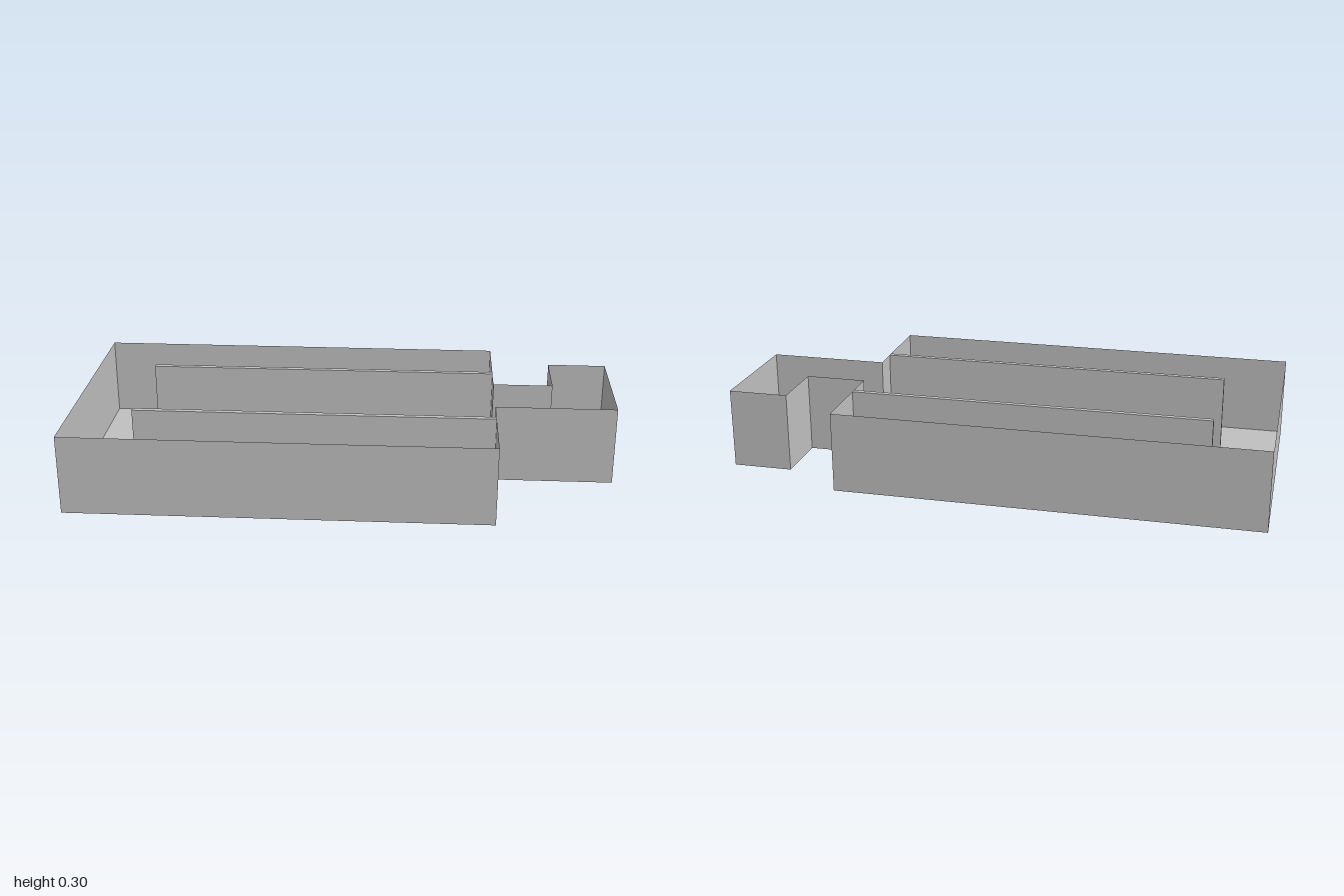
import * as THREE from 'three';

const HEIGHT = 0.297;

// Floor plan corners as [x, z]: main hall, short passage and back-turning end bay
const PLAN = [
  [-1, 0.48], [0.553, 0.48], [0.553, 0.11], [1, 0.11], [1, -0.335],
  [0.778, -0.335], [0.778, -0.112], [0.553, -0.112], [0.553, -0.48], [-1, -0.48],
];

export function createModel() {
  const group = new THREE.Group();
  const grey = new THREE.MeshStandardMaterial({ color: 0xc0c0c0, side: THREE.DoubleSide });
  grey.name = 'plain grey';

  const add = (name, geometry, x, y, z) => {
    const mesh = new THREE.Mesh(geometry, grey);
    mesh.name = name;
    mesh.position.set(x, y, z);
    group.add(mesh);
    return mesh;
  };

  // Floor over the whole plan
  const shape = new THREE.Shape(PLAN.map(([x, z]) => new THREE.Vector2(x, -z)));
  add('floor', new THREE.ShapeGeometry(shape).rotateX(-Math.PI / 2), 0, 0, 0);

  // Thin outer walls, one sheet per plan edge; the top stays open
  PLAN.forEach(([x0, z0], i) => {
    const [x1, z1] = PLAN[(i + 1) % PLAN.length];
    const dx = x1 - x0, dz = z1 - z0;
    const wall = add('outerWall', new THREE.PlaneGeometry(Math.hypot(dx, dz), HEIGHT),
      (x0 + x1) / 2, HEIGHT / 2, (z0 + z1) / 2);
    wall.rotation.y = Math.atan2(-dz, dx);
  });

  // Two long partitions running from the end wall, leaving a gap at the far end
  const x0 = -0.78, x1 = 0.553;
  for (const z of [0.215, -0.232]) {
    add('partition', new THREE.BoxGeometry(x1 - x0, HEIGHT, 0.02), (x0 + x1) / 2, HEIGHT / 2, z);
  }

  return group;
}
